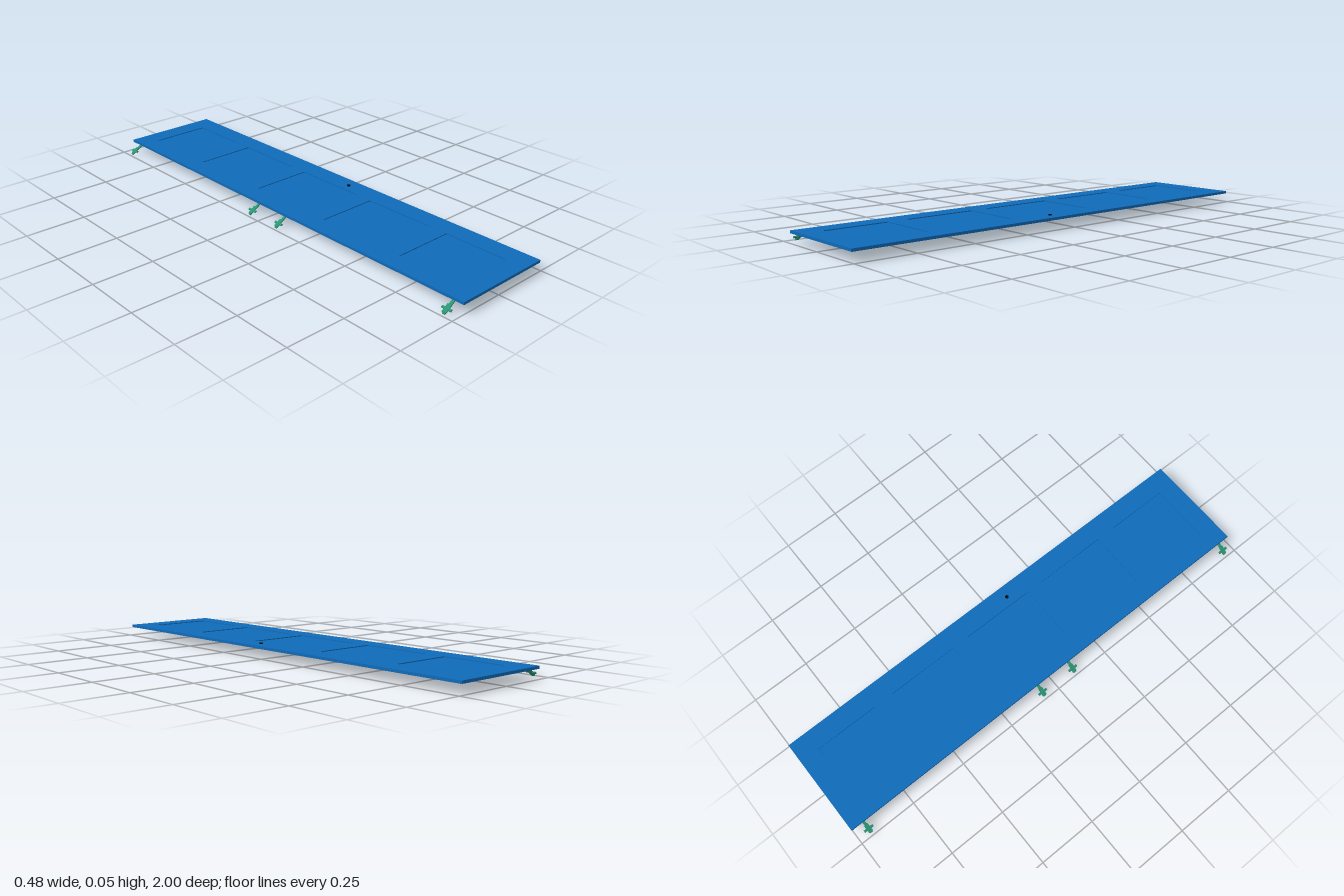
import * as THREE from 'three';

const blue = new THREE.MeshStandardMaterial({ color: 0x0f6ab8 });
const green = new THREE.MeshStandardMaterial({ color: 0x2a9474 });
const black = new THREE.MeshStandardMaterial({ color: 0x0c0c0c });

const X0 = -0.193, X1 = 0.239, Y0 = 0.04, THICK = 0.011;
const RX0 = -0.112, RX1 = 0.151; // recess extent across the panel
const recesses = [[0.64, 0.913], [0.24, 0.553], [-0.162, 0.162], [-0.553, -0.24], [-0.913, -0.64]];

function add(parent, name, geometry, material, x = 0, y = 0, z = 0) {
  const mesh = new THREE.Mesh(geometry, material);
  mesh.name = name;
  mesh.position.set(x, y, z);
  parent.add(mesh);
  return mesh;
}

function rectangle(path, x0, x1, y0, y1) {
  return path.moveTo(x0, y0).lineTo(x1, y0).lineTo(x1, y1).lineTo(x0, y1).closePath();
}

// Flat frame with five openings, each filled by a thinner sheet
function createPanel() {
  const panel = new THREE.Group();
  panel.name = 'panel';
  const outline = rectangle(new THREE.Shape(), X0, X1, -1, 1);
  for (const [a, b] of recesses) outline.holes.push(rectangle(new THREE.Path(), RX0, RX1, -b, -a));
  const frame = new THREE.ExtrudeGeometry(outline, { depth: THICK, bevelEnabled: false });
  frame.rotateX(-Math.PI / 2);
  add(panel, 'panelFrame', frame, blue, 0, Y0, 0);
  for (const [a, b] of recesses) {
    add(panel, 'recessedSheet', new THREE.BoxGeometry(RX1 - RX0, 0.004, b - a), blue,
      (RX0 + RX1) / 2, Y0 + THICK / 2, (a + b) / 2);
  }
  return panel;
}

// Bent strap under the panel edge, with a plate and cross pin on its sloping end
function createHinge(z) {
  const hinge = new THREE.Group();
  hinge.name = 'hinge';
  hinge.position.z = z;
  const width = 0.012;
  const profile = new THREE.Shape([
    [-0.165, 0.04], [-0.182, 0.04], [-0.192, 0.036], [-0.239, 0.006],
    [-0.237, 0.002], [-0.19, 0.032], [-0.18, 0.037], [-0.165, 0.038],
  ].map(([x, y]) => new THREE.Vector2(x, y)));
  const strap = new THREE.ExtrudeGeometry(profile, { depth: width, bevelEnabled: false });
  strap.translate(0, 0, -width / 2);
  add(hinge, 'hingeStrap', strap, green);

  const slope = Math.atan2(0.03, 0.047);
  const plate = add(hinge, 'hingePlate', new THREE.BoxGeometry(0.036, 0.004, 0.018), green, -0.221, 0.0185);
  plate.rotation.z = slope;
  const pin = add(hinge, 'hingeCrossPin', new THREE.BoxGeometry(0.009, 0.005, 0.042), green, -0.222, 0.018);
  pin.rotation.z = slope;
  return hinge;
}

export function createModel() {
  const model = new THREE.Group();
  model.name = 'hatchDoor';
  model.add(createPanel());
  for (const z of [-0.945, -0.065, 0.097, 0.953]) model.add(createHinge(z));
  // Tapered latch passing through the panel
  add(model, 'latch', new THREE.CylinderGeometry(0.008, 0.002, 0.019, 12), black, 0.188, 0.0455, 0.077);
  return model;
}
